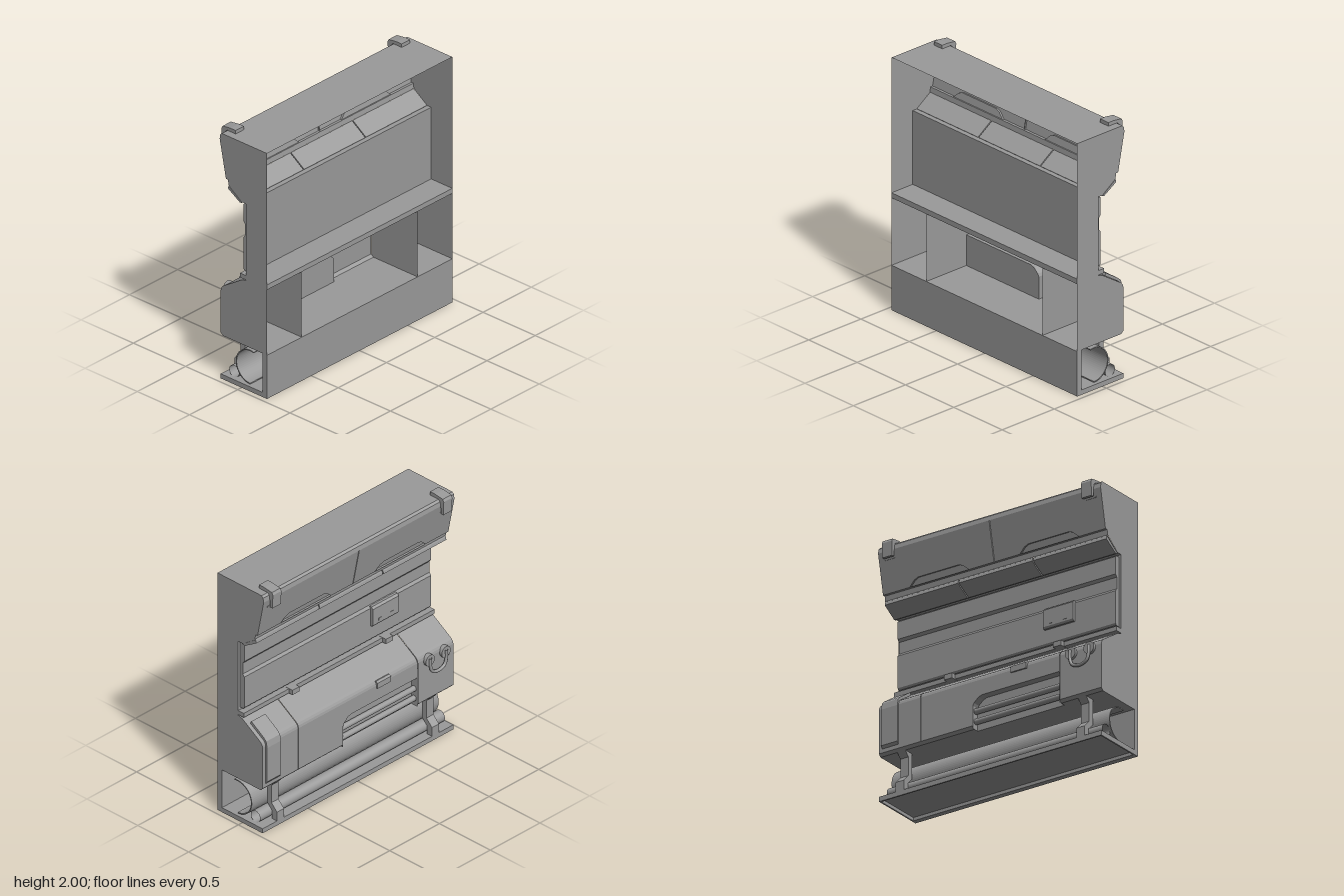
import * as THREE from 'three';

const mat = new THREE.MeshStandardMaterial({ color: 0x9a9a9a, side: THREE.DoubleSide });

export function createModel() {
  const model = new THREE.Group();

  const add = (name, geo, parent = model) => {
    const m = new THREE.Mesh(geo, mat);
    m.name = name;
    parent.add(m);
    return m;
  };
  const shapeOf = pts => new THREE.Shape(pts.map(p => new THREE.Vector2(...p)));

  // Box given by its limits
  const box = (name, x0, x1, y0, y1, z0, z1, parent) =>
    add(name, new THREE.BoxGeometry(x1 - x0, y1 - y0, z1 - z0)
      .translate((x0 + x1) / 2, (y0 + y1) / 2, (z0 + z1) / 2), parent);

  // Thin open sheet: a polyline in x,y swept from z0 to z1
  const sheet = (name, pts, z0, z1, parent) => {
    const v = [];
    for (let i = 0; i + 1 < pts.length; i++) {
      const [a, b] = [pts[i], pts[i + 1]];
      v.push(...a, z0, ...b, z0, ...b, z1, ...a, z0, ...b, z1, ...a, z1);
    }
    const g = new THREE.BufferGeometry();
    g.setAttribute('position', new THREE.Float32BufferAttribute(v, 3));
    g.computeVertexNormals();
    return add(name, g, parent);
  };

  // Solid with an x,y outline between z0 and z1
  const solid = (name, pts, z0, z1, parent) =>
    add(name, new THREE.ExtrudeGeometry(shapeOf(pts), { depth: z1 - z0, bevelEnabled: false })
      .translate(0, 0, z0), parent);

  // Drawing plane on the detailed face: local x runs along z, local +z points outward (-x)
  const facePlane = (name, x, y, lean = 0) => {
    const g = new THREE.Group();
    g.name = name;
    g.position.set(x, y, 0);
    g.rotation.set(0, -Math.PI / 2, lean, 'ZYX');
    model.add(g);
    return g;
  };
  // Recess with a floor and walls, open along its bottom edge
  const pocket = (name, pts, depth, parent) => {
    sheet(name + 'Walls', pts, -depth, 0, parent);
    add(name + 'Floor', new THREE.ShapeGeometry(shapeOf(pts)).translate(0, 0, -depth), parent);
  };

  const W = 0.96, B = 0.243;

  // Lower cabinet slope and the step under the doors, shared by skins and walls
  const slope = [[0.04, 0.875], [0, 0.865], [-0.17, 0.755], [-0.185, 0.743], [-0.195, 0.728], [-0.2, 0.71]];
  const step = [[-0.15, 1.62], [-0.13, 1.62], [-0.125, 1.58]];

  // End walls
  const endOutline = [[B, 0.03], [B, 1.97], [-0.19, 1.97], [-0.205, 1.955], [-0.21, 1.92], ...step,
    [0, 1.49], [0.04, 1.49], ...slope, [-0.2, 0.37], [-0.18, 0.35], [0.2, 0.35], [0.2, 0.03]];
  for (const s of [-1, 1])
    add('endWall', new THREE.ShapeGeometry(shapeOf(endOutline)).translate(0, 0, s * W));

  // Hollow base with a rim
  box('baseTop', -0.2, B, 0.025, 0.037, -W, W);
  box('baseRimFront', -0.2, -0.188, 0, 0.025, -W, W);
  for (const s of [-1, 1])
    box('baseRimEnd', -0.188, 0.2, 0, 0.025, s * (W - 0.006) - 0.006, s * (W - 0.006) + 0.006);

  // Rear kick plate, shelf
  box('kickPlate', 0.2, B, 0, 0.35, -W, W);
  box('shelf', 0.04, B, 0.875, 0.915, -W, W);
  box('ledge', -0.015, 0.04, 0.88, 0.915, -W, W);

  // Upper cabinet skin and middle back sheet
  sheet('topSkin', [[B, 1.97], [-0.19, 1.97], [-0.205, 1.955], [-0.21, 1.92]], -W, W);
  sheet('stepSkin', step, -W, W);
  sheet('middleSkin', [[-0.005, 1.49], [0.04, 1.49], [0.04, 0.9]], -W, W);

  // Upper doors with sunken grips
  const doors = facePlane('upperDoors', -0.15, 1.62, Math.atan2(0.06, 0.3));
  const H = 0.306;
  for (const s of [-1, 1]) {
    const grip = [[0.22, 0], [0.265, 0.042], [0.3, 0.056], [0.65, 0.056], [0.685, 0.042], [0.73, 0]]
      .map(([z, y]) => [s * z, y]);
    const door = [[s * 0.003, 0], ...grip, [s * W, 0], [s * W, H], [s * 0.003, H]];
    add('upperDoor', new THREE.ShapeGeometry(shapeOf(door)), doors);
    pocket('grip', grip, 0.015, doors);
    box('doorSlot', s * 0.87 - 0.045, s * 0.87 + 0.045, 0.24, 0.25, -0.008, 0.004, doors);
    sheet('doorSeamSide', [[s * 0.003, 0], [s * 0.003, H]], -0.01, 0, doors);
  }
  box('doorSeamBack', -0.004, 0.004, 0, H, -0.012, -0.01, doors);

  // Tilted light panels below the doors
  for (let i = -1; i <= 1; i++)
    solid('lightPanel', [[-0.122, 1.582], [-0.13, 1.568], [-0.135, 1.548], [-0.02, 1.477],
      [-0.004, 1.48], [0.004, 1.494]], i * 0.64 - 0.316, i * 0.64 + 0.316);
  sheet('lightPanelBacking', [[-0.127, 1.574], [-0.002, 1.487]], -W, W);

  // Corner clamps hooked over the top edge
  for (const s of [-1, 1]) {
    const z = s * 0.86;
    solid('clamp', [[-0.11, 1.972], [-0.11, 2], [-0.16, 2], [-0.235, 1.99], [-0.245, 1.97],
      [-0.24, 1.86], [-0.218, 1.86], [-0.214, 1.93], [-0.207, 1.96], [-0.192, 1.972]], z - 0.043, z + 0.043);
  }

  // Middle padded panel with a recessed band, and a control box
  solid('middlePanel', [[0.04, 1.475], [0.01, 1.475], [0, 1.465], [0, 1.33], [0.015, 1.31],
    [0.015, 1.22], [0, 1.2], [0, 0.95], [0.01, 0.935], [0.04, 0.935]], -0.94, 0.94);
  solid('controlBox', [[0.01, 1.215], [-0.01, 1.215], [-0.025, 1.2], [-0.025, 1.07],
    [-0.015, 1.055], [0.01, 1.055]], 0.33, 0.59);
  for (const z of [0.4, 0.52]) box('controlButton', -0.028, -0.02, 1.085, 1.105, z - 0.015, z + 0.015);

  // Hinge blocks on the ledge
  for (const z of [-0.47, 0.47]) box('hingeBlock', -0.05, 0.02, 0.878, 0.917, z - 0.035, z + 0.035);

  // Lower cabinet: slope, floor, dividers
  for (const [a, b] of [[-W, -0.602], [-0.598, 0.598], [0.602, W]])
    sheet('lowerSlope', slope, a, b);
  const floor = [[-0.2, 0.37], [-0.18, 0.35], [B, 0.35]];
  sheet('lowerFloor', floor, -W, -0.15);
  sheet('lowerFloor', [[-0.14, 0.35], [B, 0.35]], -0.15, 0.6);
  sheet('lowerFloor', floor, 0.6, W);
  const divider = [[B, 0.35], [B, 0.875], ...slope, [-0.2, 0.37], [-0.18, 0.35]];
  for (const z of [-0.6, 0.6])
    add('divider', new THREE.ShapeGeometry(shapeOf(divider)).translate(0, 0, z));

  // Lower front panels with a recess holding two rails
  const front = facePlane('lowerFront', -0.2, 0);
  const panel = pts => add('lowerPanel', new THREE.ShapeGeometry(shapeOf(pts)), front);
  for (const s of [-1, 1])
    panel([[s * 0.602, 0.37], [s * W, 0.37], [s * W, 0.71], [s * 0.602, 0.71]]);
  const cut = [[-0.15, 0.35], [-0.15, 0.525], [-0.14, 0.545], [-0.1, 0.58], [-0.07, 0.59], [0.598, 0.59]];
  panel([[-0.598, 0.37], [-0.15, 0.37], ...cut.slice(1), [0.598, 0.71], [-0.598, 0.71]]);
  pocket('recess', [...cut, [0.598, 0.35]], 0.06, front);
  for (const y of [0.41, 0.49])
    add('recessRail', new THREE.CylinderGeometry(0.022, 0.022, 0.745, 20)
      .rotateX(Math.PI / 2).translate(-0.168, y, 0.224));

  // Latch and corner pad on the lower cabinet
  solid('latch', [[-0.17, 0.74], [-0.195, 0.745], [-0.212, 0.735], [-0.212, 0.69], [-0.185, 0.69]], 0.185, 0.32);
  solid('cornerPad', [[-0.05, 0.835], [-0.06, 0.855], [-0.18, 0.775], [-0.205, 0.75], [-0.215, 0.7],
    [-0.215, 0.42], [-0.201, 0.4], [-0.201, 0.71], [-0.196, 0.73], [-0.186, 0.745], [-0.17, 0.757]],
    -0.93, -0.79);

  // Grab handle: one loop hung between two round bosses
  const handle = new THREE.Group();
  handle.name = 'grabHandle';
  model.add(handle);
  for (const z of [0.705, 0.865])
    add('handleBoss', new THREE.CylinderGeometry(0.045, 0.045, 0.035, 24)
      .rotateZ(Math.PI / 2).translate(-0.205, 0.695, z), handle);
  const path = new THREE.CatmullRomCurve3([[-0.08, 0.715], [-0.08, 0.65], [-0.06, 0.6], [0, 0.58],
    [0.06, 0.6], [0.08, 0.65], [0.08, 0.715]]
    .map(([u, y]) => new THREE.Vector3(-0.224, y, 0.785 + u)));
  add('handleLoop', new THREE.TubeGeometry(path, 40, 0.012, 10), handle);

  // Large open trough in the bottom bay
  const arc = [];
  for (let i = 0; i <= 32; i++) {
    const a = THREE.MathUtils.degToRad(75 + i * 195 / 32);
    arc.push([0.063 + 0.137 * Math.cos(a), 0.18 + 0.137 * Math.sin(a)]);
  }
  const inner = arc.map(([x, y]) => [0.063 + (x - 0.063) * 0.94, 0.18 + (y - 0.18) * 0.94]).reverse();
  solid('trough', [...arc, ...inner], -0.94, 0.94);

  // Small open pipe and its brackets
  add('pipe', new THREE.CylinderGeometry(0.046, 0.046, 1.86, 28, 1, true)
    .rotateX(Math.PI / 2).translate(-0.1, 0.083, 0));
  for (const z of [-0.78, 0.78])
    solid('bracket', [[-0.2, 0.03], [-0.2, 0.11], [-0.145, 0.165], [-0.145, 0.31], [-0.185, 0.355],
      [-0.1, 0.355], [-0.1, 0.155], [-0.15, 0.105], [-0.15, 0.03]], z - 0.035, z + 0.035);

  return model;
}
